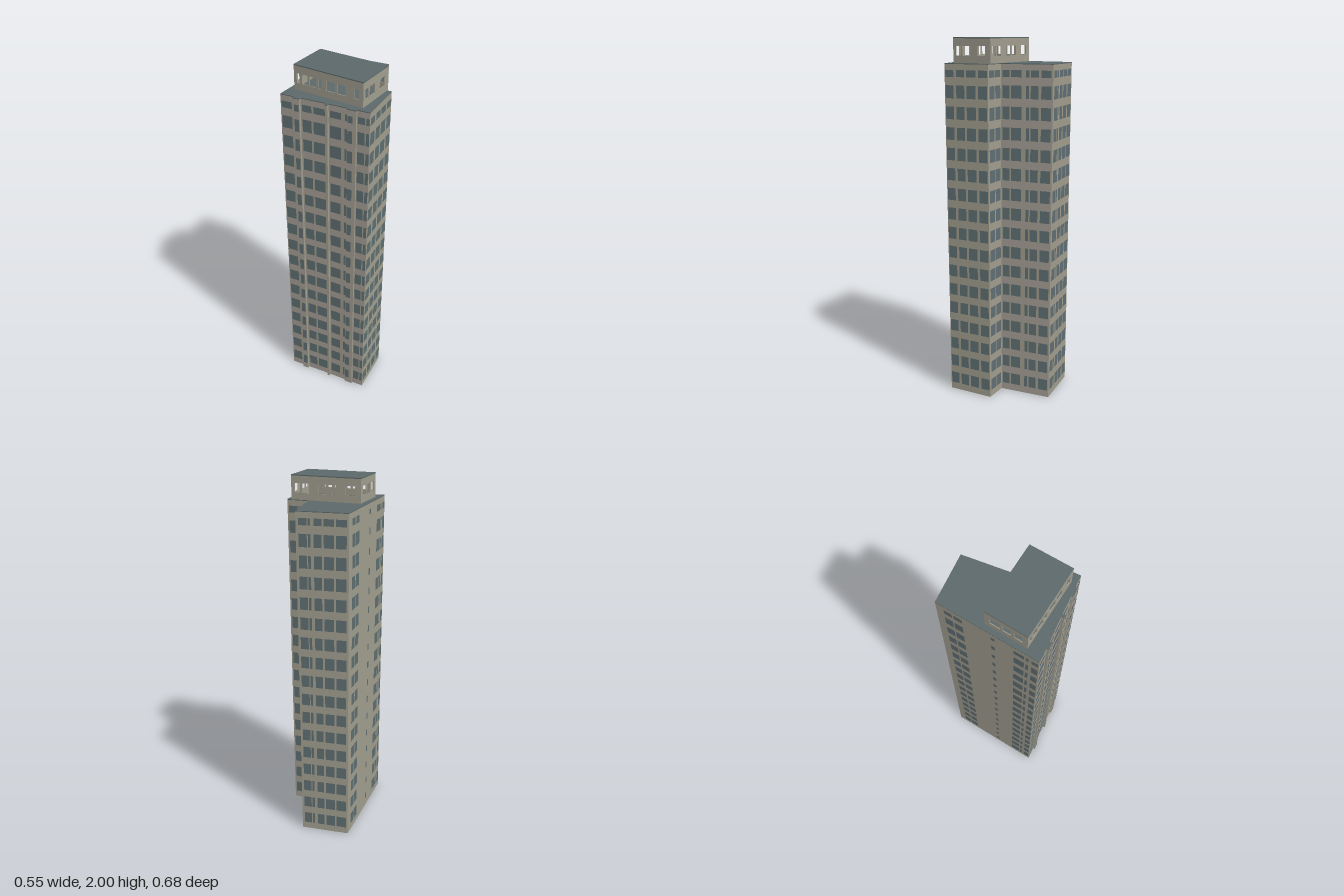
import * as THREE from 'three';
import { mergeGeometries } from 'three/addons/utils/BufferGeometryUtils.js';

const material = (name, color) => new THREE.MeshStandardMaterial({ name, color });
const wallMat = material('olive concrete', 0xa09d8e);
const bandMat = material('warm grey spandrel', 0xa39c93);
const glassMat = material('window glass', 0x5f6e71);
const roofMat = material('slate roof', 0x5b6869);

const ROOF_Y = 1.87, FLOORS = 17, PITCH = 0.11, SILL = 0.04, WINDOW_H = 0.067;

// Each corner starts a face: [x, z, windows as fractions along the face, options]
const tower = [
  [-0.277, 0.13, [[0.08, 0.82]], { band: true }],
  [-0.209, 0.163, []],
  [-0.216, 0.175, [[0.22, 0.9]], { band: true }],          // first pier
  [-0.184, 0.19, []],
  [-0.177, 0.178, [[0.06, 0.42], [0.5, 0.95]], { band: true }],
  [-0.053, 0.237, []],
  [-0.06, 0.251, []],                                      // narrow pier
  [-0.048, 0.257, []],
  [-0.041, 0.243, [[0.07, 0.66], [0.86, 0.98]], { band: true }],
  [0.048, 0.288, []],
  [0.045, 0.298, [[0.06, 0.6]], { band: true }],           // wide pier
  [0.088, 0.319, []],
  [0.093, 0.309, [[0.06, 0.62], [0.72, 0.97]], { band: true }],
  [0.152, 0.338, [[0.02, 0.21], [0.27, 0.46], [0.51, 0.72], [0.78, 0.98]]],
  [0.267, 0.11, [[0.08, 0.47], [0.53, 0.92]]],
  [0.163, 0.043, [[0.03, 0.17], [0.2, 0.4], [0.49, 0.55], [0.58, 0.73], [0.78, 0.97]], { band: true }],
  [0.275, -0.222, [[0.05, 0.21], [0.23, 0.28], [0.34, 0.49], [0.53, 0.72], [0.76, 0.96]]],
  [0.03, -0.34, [[0.08, 0.16], [0.175, 0.26], [0.76, 0.86], [0.875, 0.9], [0.93, 0.99]], { small: [0.54, 0.575] }],
];

// Rooftop room: window openings as fractions along each wall
const penthouse = [
  [-0.21, 0.078, [[0.04, 0.08], [0.12, 0.2], [0.23, 0.33], [0.36, 0.41], [0.48, 0.6], [0.64, 0.75], [0.87, 0.94]]],
  [0.12, 0.292, [[0.08, 0.2], [0.25, 0.46], [0.66, 0.86]]],
  [0.246, 0.097, [[0.05, 0.13], [0.16, 0.26], [0.4, 0.5], [0.54, 0.64], [0.78, 0.92]]],
  [-0.083, -0.113, [[0.12, 0.36], [0.42, 0.62], [0.7, 0.88]]],
];

function mesh(name, geometry, mat) {
  const m = new THREE.Mesh(geometry, mat);
  m.name = name;
  return m;
}

// Upright prism over a ground outline
function prism(name, corners, y0, y1, mat) {
  const shape = new THREE.Shape(corners.map(([x, z]) => new THREE.Vector2(x, -z)));
  const geo = new THREE.ExtrudeGeometry(shape, { depth: y1 - y0, bevelEnabled: false });
  geo.rotateX(-Math.PI / 2).translate(0, y0, 0);
  return mesh(name, geo, mat);
}

// Group whose x axis runs along a wall and whose z axis points outward
function wallFrame(name, [ax, az], [bx, bz]) {
  const frame = new THREE.Group();
  frame.name = name;
  frame.position.set(ax, 0, az);
  frame.rotation.y = Math.atan2(az - bz, bx - ax);
  return frame;
}

function pane(x0, x1, y0, y1, offset) {
  return new THREE.PlaneGeometry(x1 - x0, y1 - y0).translate((x0 + x1) / 2, (y0 + y1) / 2, offset);
}

function rectHole(x0, x1, y0, y1) {
  return new THREE.Path([[x0, y0], [x0, y1], [x1, y1], [x1, y0]].map(([x, y]) => new THREE.Vector2(x, y)));
}

// Windows and spandrel bands for one face of the tower
function facade(a, b) {
  const [, , windows, { band = false, small } = {}] = a;
  const length = Math.hypot(b[0] - a[0], b[1] - a[1]);
  const frame = wallFrame('facade', a, b);
  const glass = [], bands = [];
  for (let k = 0; k < FLOORS; k++) {
    const y0 = SILL + k * PITCH;
    const y1 = y0 + (k === FLOORS - 1 ? 0.036 : WINDOW_H); // short top row
    for (const [s, e] of windows) glass.push(pane(s * length, e * length, y0, y1, 0.0015));
    if (small) glass.push(pane(small[0] * length, small[1] * length, y0 + 0.01, Math.min(y1, y0 + 0.048), 0.0015));
    if (band) bands.push(pane(0, length, y1, k === FLOORS - 1 ? ROOF_Y - 0.004 : y0 + PITCH, 0.001));
  }
  if (band) bands.push(pane(0, length, 0, SILL, 0.001));
  if (glass.length) frame.add(mesh('windows', mergeGeometries(glass), glassMat));
  if (bands.length) frame.add(mesh('spandrels', mergeGeometries(bands), bandMat));
  return frame;
}

// Thin rooftop wall with open windows
function openWall(a, b) {
  const length = Math.hypot(b[0] - a[0], b[1] - a[1]);
  const shape = new THREE.Shape([[0, ROOF_Y], [length, ROOF_Y], [length, 1.995], [0, 1.995]]
    .map(([x, y]) => new THREE.Vector2(x, y)));
  for (const [s, e] of a[2]) shape.holes.push(rectHole(s * length, e * length, 1.907, 1.957));
  const geo = new THREE.ExtrudeGeometry(shape, { depth: 0.004, bevelEnabled: false }).translate(0, 0, -0.004);
  const frame = wallFrame('penthouseWall', a, b);
  frame.add(mesh('wallWithOpenings', geo, wallMat));
  return frame;
}

export function createModel() {
  const model = new THREE.Group();
  model.name = 'towerBlock';

  // Main tower
  model.add(prism('towerBody', tower, 0, ROOF_Y - 0.004, wallMat));
  model.add(prism('towerRoof', tower, ROOF_Y - 0.004, ROOF_Y, roofMat));
  tower.forEach((a, i) => {
    if (a[2].length) model.add(facade(a, tower[(i + 1) % tower.length]));
  });

  // Rooftop room
  penthouse.forEach((a, i) => model.add(openWall(a, penthouse[(i + 1) % penthouse.length])));
  model.add(prism('penthouseRoof', penthouse, 1.995, 2, roofMat));

  return model;
}
